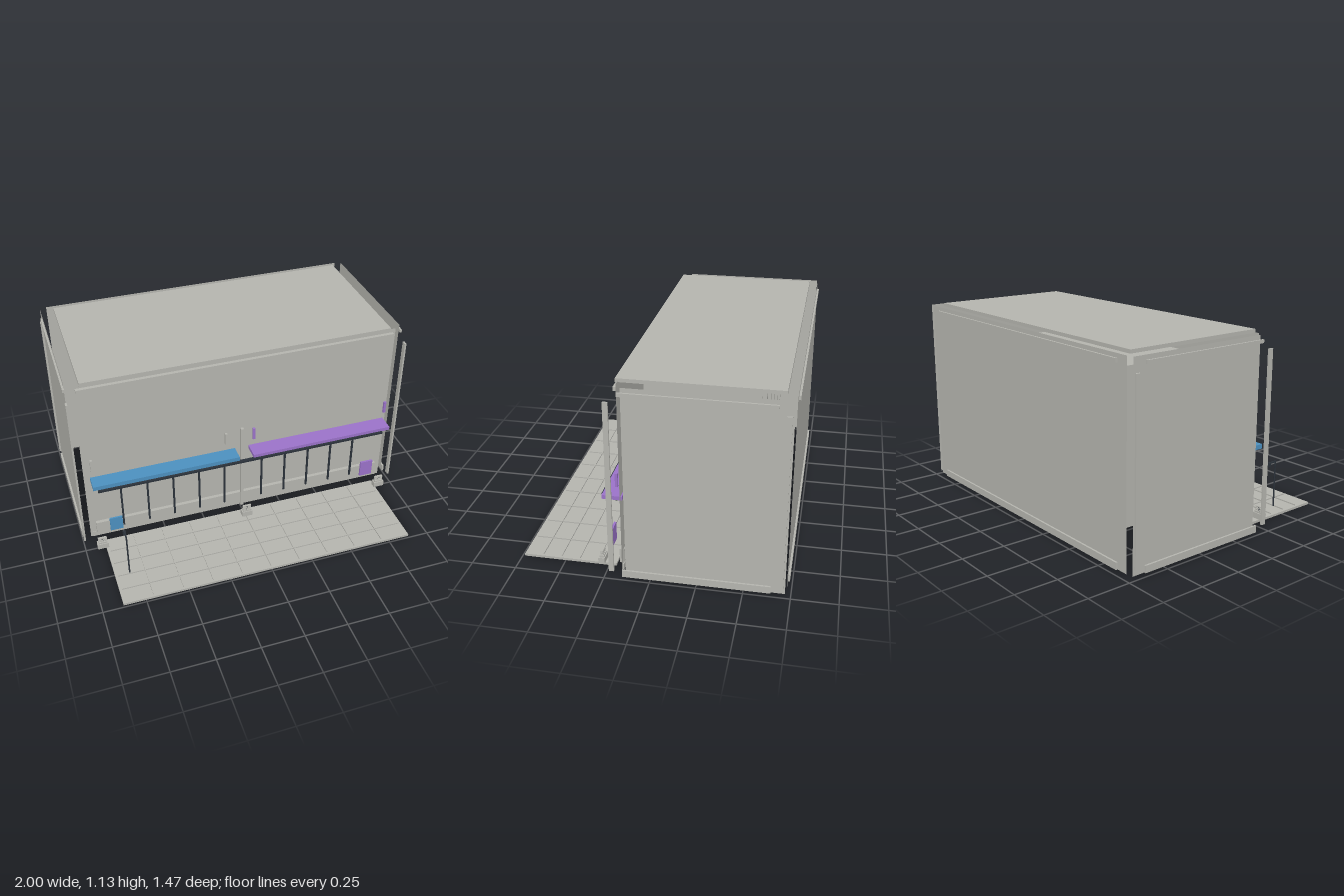
import * as THREE from 'three';

export function createModel() {
  const root = new THREE.Group();
  root.name = 'serviceKiosk';
  const mat = (name, color) => {
    const m = new THREE.MeshStandardMaterial({ color, side: THREE.DoubleSide });
    m.name = name;
    return m;
  };
  const gray = mat('warm gray', 0xb4b4ae);
  const blue = mat('blue', 0x4c90bf);
  const purple = mat('purple', 0x9a72c8);
  const dark = mat('dark slate', 0x2b323a);

  const add = (name, geo, m, x, y, z, parent = root) => {
    const mesh = new THREE.Mesh(geo, m);
    mesh.name = name;
    mesh.position.set(x, y, z);
    parent.add(mesh);
    return mesh;
  };
  // box given by its minimum and maximum on each axis
  const box = (name, m, x0, x1, y0, y1, z0, z1, parent = root) =>
    add(name, new THREE.BoxGeometry(x1 - x0, y1 - y0, z1 - z0), m,
      (x0 + x1) / 2, (y0 + y1) / 2, (z0 + z1) / 2, parent);
  const wall = (name, w, h, x, y, z, turn) => {
    add(name, new THREE.PlaneGeometry(w, h), gray, x, y, z).rotation.y = turn;
  };

  // Shell panels, open underneath
  wall('frontWall', 1.9, 1.1, 0, 0.57, 0.16, 0);
  wall('backWall', 1.9, 1.1, 0, 0.57, -0.727, Math.PI);
  for (const s of [-1, 1]) wall('sideWall', 0.85, 1.1, s * 0.989, 0.57, -0.295, s * Math.PI / 2);
  box('roof', gray, -0.912, 0.912, 1.115, 1.135, -0.675, 0.174);

  // Rails and corner posts
  box('frontTopRail', gray, -0.935, 0.932, 1.075, 1.097, 0.16, 0.181);
  box('frontBottomRail', gray, -0.935, 0.932, 0.02, 0.055, 0.153, 0.163);
  box('frontSkirt', gray, -0.912, 0.912, 0.05, 0.134, 0.155, 0.181);
  box('backTopRail', gray, -0.88, 0.875, 1.076, 1.097, -0.738, -0.727);
  box('backBottomRail', gray, -0.88, 0.875, 0.02, 0.06, -0.738, -0.727);
  for (const s of [-1, 1]) {
    const side = new THREE.Group();
    side.name = 'sideTrim';
    root.add(side);
    const xs = [Math.min(s * 0.989, s), Math.max(s * 0.989, s)];
    box('sideTopRail', gray, ...xs, 1.076, 1.095, -0.645, 0.148, side);
    box('sideBottomRail', gray, ...xs, 0.02, 0.06, -0.645, 0.148, side);
    box('frontPost', gray, ...xs, 0.05, 1.04, 0.192, 0.22, side);
    box('backPost', gray, ...xs, 0.05, 1.04, -0.71, -0.683, side);
  }
  box('centrePost', gray, -0.009, 0.009, 0.035, 0.628, 0.174, 0.192);

  // Counter shelves and their brackets
  box('blueShelf', blue, -0.915, -0.041, 0.458, 0.484, 0.172, 0.264);
  box('purpleShelf', purple, 0.048, 0.935, 0.454, 0.476, 0.152, 0.262);
  for (const [x, m] of [[-0.9, gray], [-0.098, gray], [0.075, purple], [0.93, purple]]) {
    box('bracket', m, x - 0.007, x + 0.007, 0.533, 0.61, 0.172, 0.186);
  }
  box('shelfBar', dark, -0.89, 0.885, 0.445, 0.456, 0.262, 0.276);
  box('upperBar', dark, -0.855, 0.855, 0.401, 0.409, 0.2, 0.21);

  // Upright bars below the shelves
  for (const x of [-0.75, -0.592, -0.435, -0.276, -0.118, 0.12, 0.27, 0.421, 0.572, 0.721]) {
    box('uprightBar', dark, x - 0.005, x + 0.005, 0.102, 0.388, 0.198, 0.208);
  }

  // Small coloured panels
  box('bluePanel', blue, -0.838, -0.762, 0.108, 0.2, 0.23, 0.24);
  box('purplePanel', purple, 0.775, 0.856, 0.108, 0.215, 0.232, 0.244);

  // Feet with stacked adjusters
  for (const x of [-0.9, 0, 0.89]) {
    const foot = new THREE.Group();
    foot.name = 'foot';
    foot.position.set(x, 0, 0.282);
    root.add(foot);
    box('footBlock', gray, -0.033, 0.033, 0.036, 0.07, -0.018, 0.018, foot);
    box('footCap', gray, -0.026, 0.026, 0.07, 0.08, -0.012, 0.012, foot);
    box('adjusterStem', dark, -0.006, 0.006, 0.08, 0.105, -0.005, 0.005, foot);
    for (const y of [0.085, 0.095, 0.105]) {
      box('adjusterPlate', gray, -0.026, 0.026, y - 0.003, y + 0.003, -0.007, 0.007, foot);
    }
  }

  // Paved apron with a raised grid
  const apron = new THREE.Group();
  apron.name = 'apron';
  root.add(apron);
  box('apronSlab', gray, -0.88, 0.88, 0, 0.014, 0.21, 0.737, apron);
  for (let i = 1; i < 10; i++) {
    const x = -0.88 + i * 0.176;
    box('gridRib', gray, x - 0.002, x + 0.002, 0.013, 0.021, 0.225, 0.722, apron);
  }
  for (let i = 1; i < 5; i++) {
    const z = 0.21 + i * 0.1054;
    box('gridRib', gray, -0.865, 0.865, 0.013, 0.021, z - 0.002, z + 0.002, apron);
  }

  // Lamp on the apron
  const lamp = new THREE.Group();
  lamp.name = 'lamp';
  lamp.position.set(-0.795, 0, 0);
  root.add(lamp);
  add('lampPole', new THREE.CylinderGeometry(0.0045, 0.0045, 0.28, 8), dark, 0, 0.157, 0.52, lamp);
  box('lampArm', dark, -0.004, 0.004, 0.291, 0.299, 0.465, 0.523, lamp);
  box('lampHead', dark, -0.009, 0.009, 0.276, 0.298, 0.46, 0.474, lamp);

  // Cabinet block inside the shell, seen from below
  const core = new THREE.Group();
  core.name = 'innerCabinet';
  root.add(core);
  box('cabinetBody', gray, -0.535, 0.535, 0.035, 0.95, -0.52, 0.12, core);
  for (let i = 0; i < 5; i++) {
    const x = -0.5 + i * 0.25;
    box('cabinetRib', gray, x - 0.02, x + 0.02, 0.06, 0.95, -0.545, -0.52, core);
  }
  const frame = new THREE.Shape();
  frame.moveTo(-0.06, -0.06).lineTo(0.06, -0.06).lineTo(0.06, 0.06).lineTo(-0.06, 0.06).closePath();
  const hole = new THREE.Path();
  hole.moveTo(-0.045, -0.045).lineTo(-0.045, 0.045).lineTo(0.045, 0.045).lineTo(0.045, -0.045).closePath();
  frame.holes.push(hole);
  const frameGeo = new THREE.ExtrudeGeometry(frame, { depth: 0.012, bevelEnabled: false });
  for (const s of [-1, 1]) {
    add('cabinetHatchFrame', frameGeo, gray, s * 0.535, 0.18, -0.2, core).rotation.y = s * Math.PI / 2;
  }

  return root;
}
